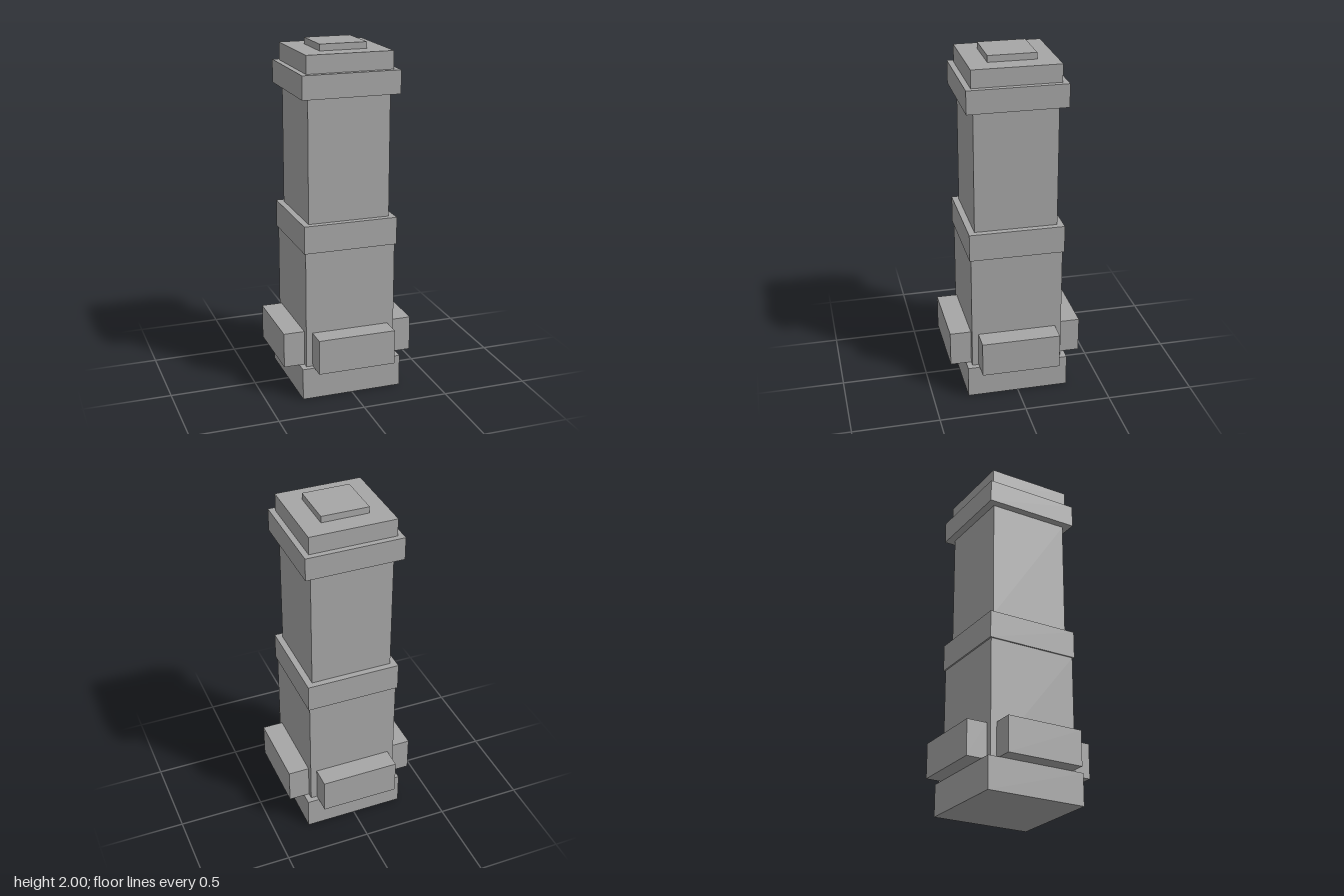
import * as THREE from 'three';

export function createModel() {
  const model = new THREE.Group();
  model.name = 'tower';
  const stone = new THREE.MeshStandardMaterial({ color: 0xa6a6a6 });
  stone.name = 'grey stone';

  // Square tiers stacked from the ground up: name, half width, bottom, top
  const tiers = [
    ['base', 0.295, 0, 0.185],
    ['lowerShaft', 0.264, 0.185, 0.868],
    ['middleBand', 0.273, 0.868, 1.027],
    ['upperShaft', 0.237, 1.027, 1.73],
    ['cornice', 0.281, 1.73, 1.862],
    ['roofStep', 0.249, 1.862, 1.963],
    ['roofCap', 0.136, 1.963, 2],
  ];
  for (const [name, half, bottom, top] of tiers) {
    const tier = new THREE.Mesh(new THREE.BoxGeometry(half * 2, top - bottom, half * 2), stone);
    tier.name = name;
    tier.position.y = (bottom + top) / 2;
    model.add(tier);
  }

  // One projecting block on each side, just above the base
  const inner = 0.264, outer = 0.385;
  const blockGeometry = new THREE.BoxGeometry(0.454, 0.203, outer - inner);
  blockGeometry.translate(0, 0.2865, (inner + outer) / 2);
  ['frontBlock', 'leftBlock', 'backBlock', 'rightBlock'].forEach((name, i) => {
    const block = new THREE.Mesh(blockGeometry, stone);
    block.name = name;
    block.rotation.y = (i * Math.PI) / 2;
    model.add(block);
  });

  return model;
}
